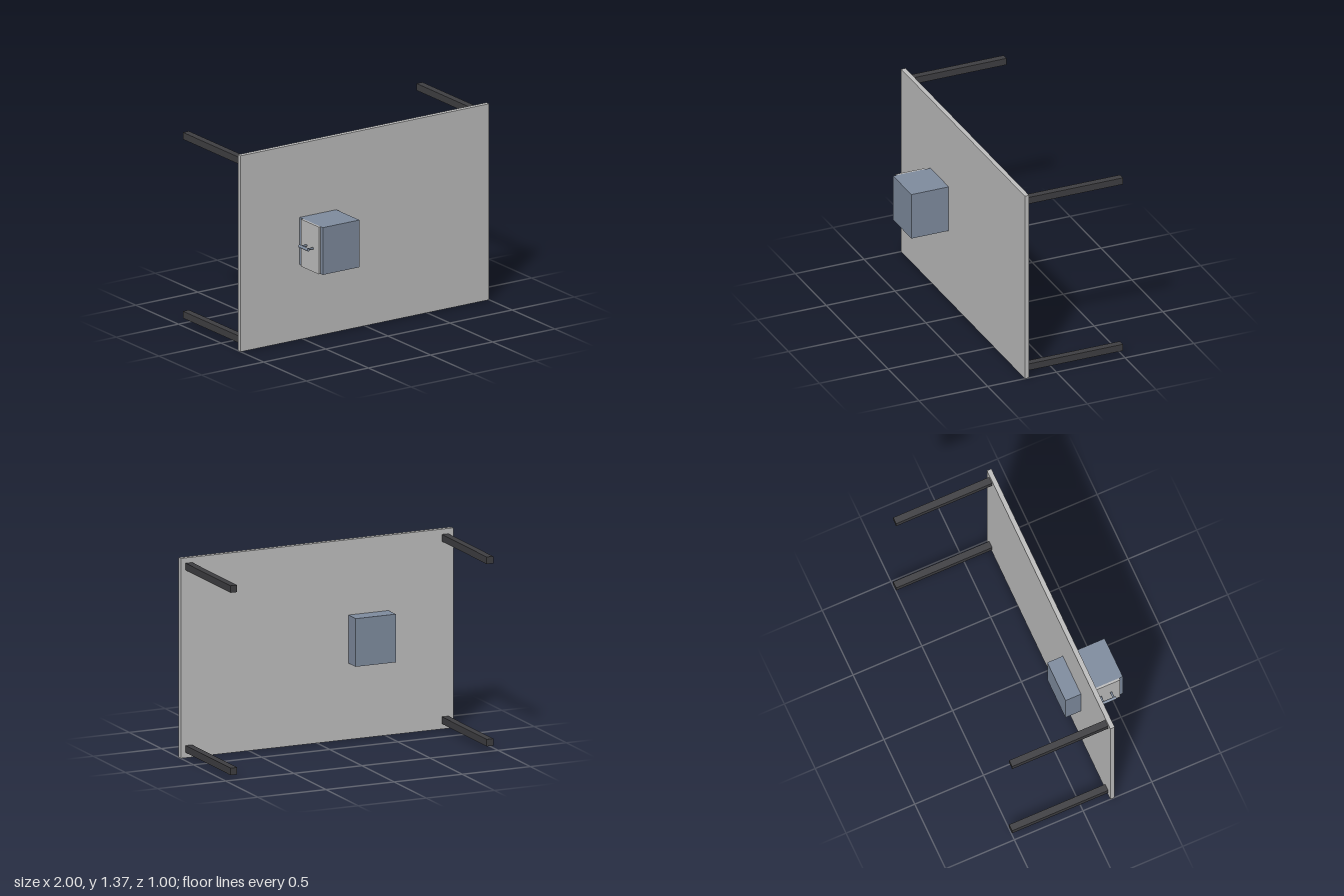
import * as THREE from 'three';

export function createModel() {
  const group = new THREE.Group();
  const mat = (name, color) => {
    const m = new THREE.MeshStandardMaterial({ color });
    m.name = name;
    return m;
  };
  const grey = mat('light grey', 0xc0c0c0);
  const blue = mat('slate blue', 0x808da0);
  const dark = mat('charcoal', 0x3f3f42);

  const add = (name, geometry, material, x, y, z) => {
    const mesh = new THREE.Mesh(geometry, material);
    mesh.name = name;
    mesh.position.set(x, y, z);
    group.add(mesh);
    return mesh;
  };
  // Box given by its extents on each axis
  const box = (name, material, [x0, x1], [y0, y1], [z0, z1]) =>
    add(name, new THREE.BoxGeometry(x1 - x0, y1 - y0, z1 - z0), material,
      (x0 + x1) / 2, (y0 + y1) / 2, (z0 + z1) / 2);

  // Table top standing on its long edge
  const height = 1.366;
  box('tableTop', grey, [-1, 1], [0, height], [0.198, 0.23]);

  // Four square legs pointing backwards
  const legGeometry = new THREE.BoxGeometry(0.048, 0.048, 0.698);
  for (const x of [-0.94, 0.94])
    for (const y of [0.06, height - 0.06])
      add('leg', legGeometry, dark, x, y, -0.151);

  // Cabinet passing through the top, with a door on its right side
  box('cabinet', blue, [-0.525, -0.23], [0.522, 0.851], [0.085, 0.502]);
  box('door', grey, [-0.54, -0.525], [0.522, 0.851], [0.27, 0.476]);

  // Door handle: a round bar on two posts
  const bar = add('handleBar', new THREE.CylinderGeometry(0.01, 0.01, 0.105, 24), blue, -0.588, 0.686, 0.372);
  bar.rotation.x = Math.PI / 2;
  for (const z of [0.334, 0.41]) {
    const post = add('handlePost', new THREE.CylinderGeometry(0.007, 0.007, 0.048, 16), blue, -0.564, 0.686, z);
    post.rotation.z = Math.PI / 2;
  }
  return group;
}
